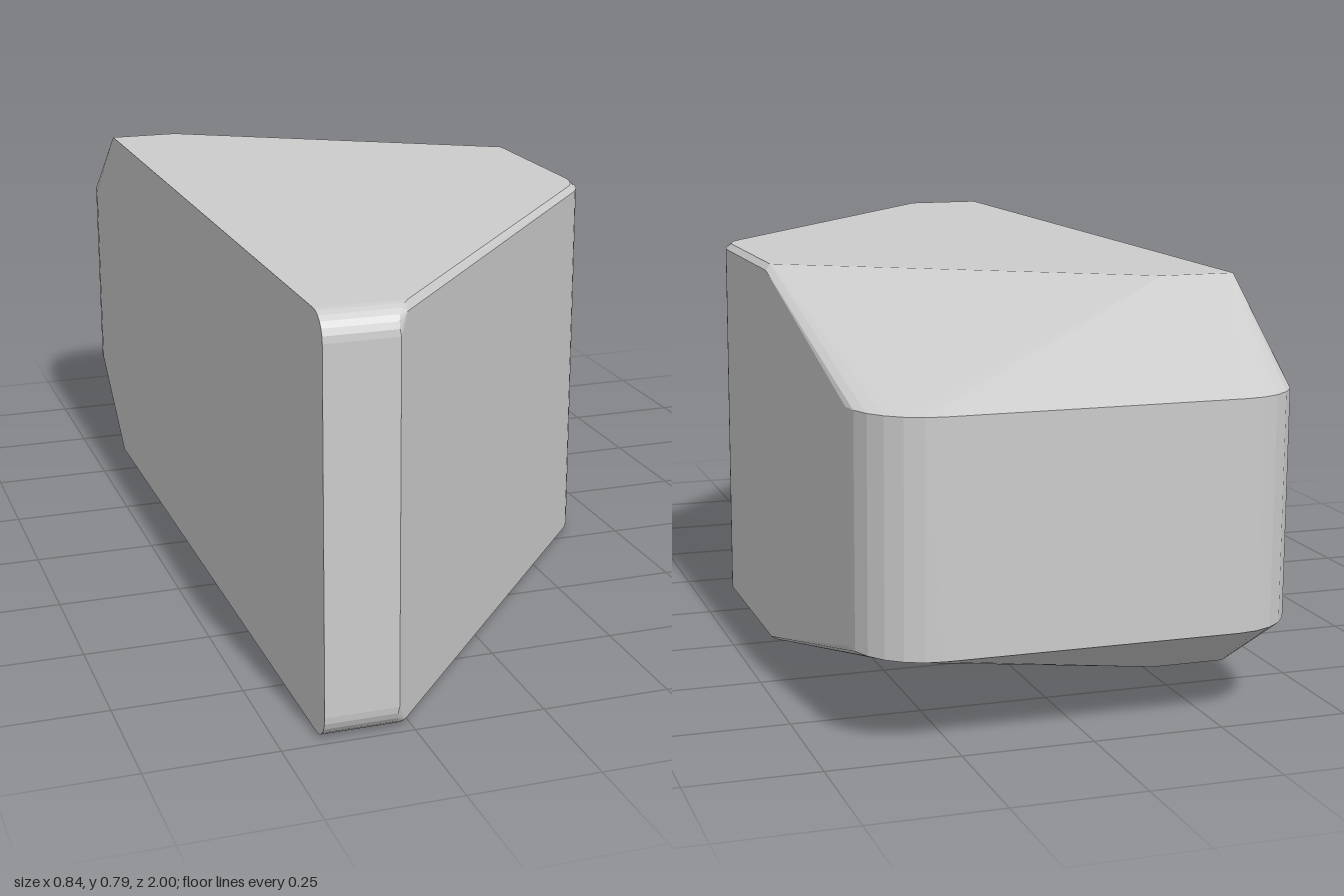
import * as THREE from 'three';
import { ConvexGeometry } from 'three/addons/geometries/ConvexGeometry.js';

const H = 0.786; // full height, the block is mirrored about H / 2
const STEPS = 6;

// Points of an arc in plan, angles in degrees (0 = +x, 90 = +z)
function planArc(cx, cz, r, from, to) {
  return Array.from({ length: STEPS + 1 }, (_, i) => {
    const a = THREE.MathUtils.degToRad(from + ((to - from) * i) / STEPS);
    return [cx + r * Math.cos(a), cz + r * Math.sin(a)];
  });
}

export function createModel() {
  const points = [];
  const add = (x, y, z) => {
    points.push(new THREE.Vector3(x, y, z), new THREE.Vector3(x, H - y, z));
  };

  // Rounded back corners, where the sloping faces end
  for (const [x, z] of planArc(-0.28, -0.86, 0.14, 180, 270)) add(x, 0.61, z);
  for (const [x, z] of planArc(0.28, -0.86, 0.14, 270, 360)) add(x, 0.61, z);

  // Crease between the flat top and the back slopes
  add(-0.42, H, -0.64);
  add(-0.27, H, -0.64);
  add(0.408, H, -0.235);
  add(0.42, 0.775, -0.25);

  // Soft bend between the right wall and the slanted wall, with a fine bevel
  for (const [x, z] of planArc(0.28, 0.13, 0.14, 0, 40.7)) {
    add(x, 0.775, z);
    add(x - 0.012, H, z - 0.004);
  }

  // Narrow front end with rounded top and bottom edges
  const r = 0.05;
  for (let i = 0; i <= STEPS; i++) {
    const a = (i / STEPS) * Math.PI / 2;
    const z = 1 - r + r * Math.sin(a);
    const y = H - r + r * Math.cos(a);
    const slant = -0.28 + (1 - z) * 0.86;
    add(-0.42, y, z);
    add(slant - 0.014 * Math.cos(a), y, z);
  }
  add(-0.262, 0.773, 0.979);

  const body = new THREE.Mesh(
    new ConvexGeometry(points),
    new THREE.MeshStandardMaterial({ color: 0xcccccc, flatShading: true })
  );
  body.name = 'taperedBlock';

  const group = new THREE.Group();
  group.name = 'wedgeBlock';
  group.add(body);
  return group;
}
